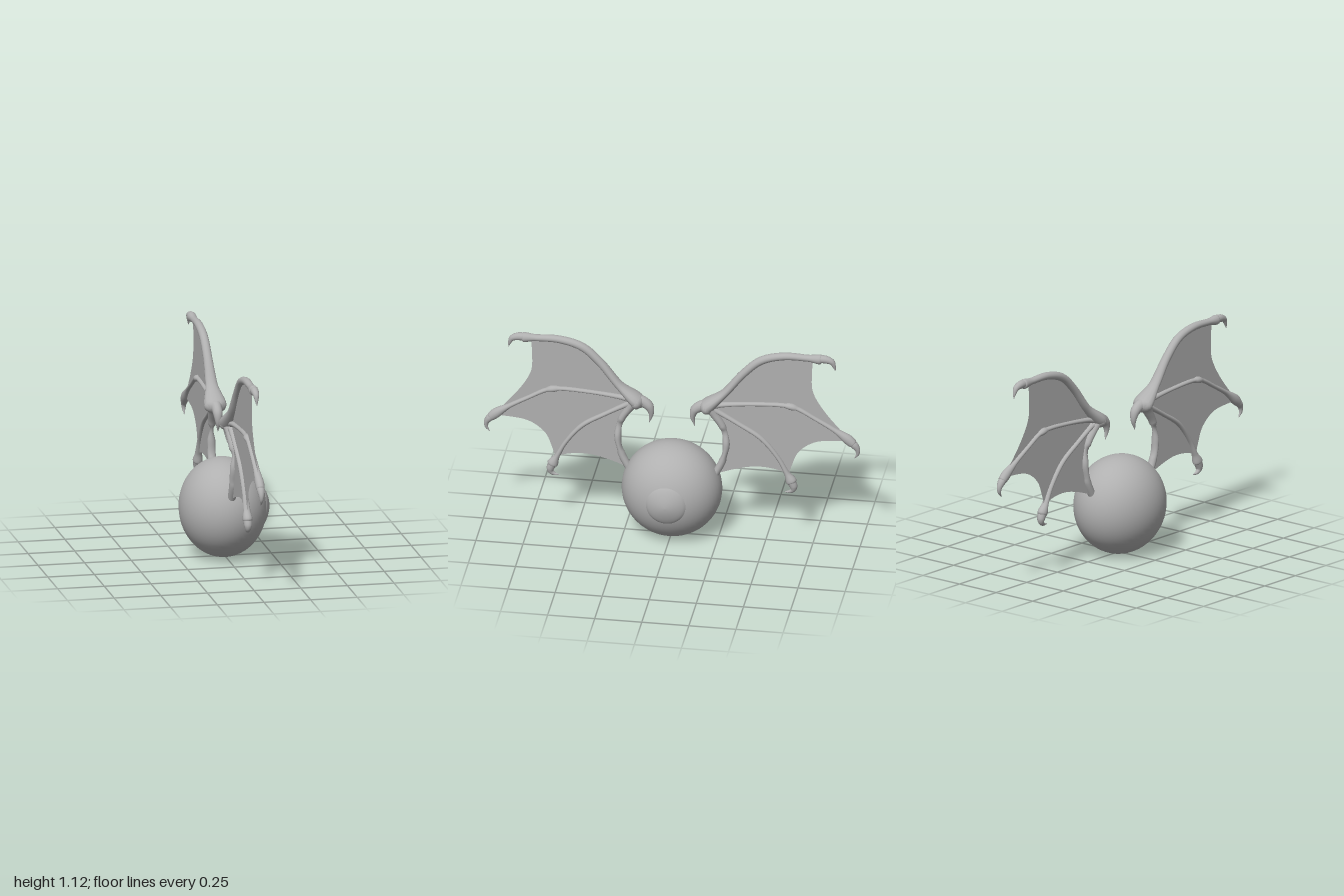
import * as THREE from 'three';

const CENTER_X = -0.01;

// Smooth bone along [z, y, radius in wing plane, radius across] stations
function boneGeometry(stations, sides = 14, perSpan = 8) {
  const path = new THREE.CatmullRomCurve3(stations.map(([z, y]) => new THREE.Vector3(0, y, z)));
  const sizes = new THREE.CatmullRomCurve3(stations.map(([, , r, rx]) => new THREE.Vector3(r, rx ?? r, 0)));
  const rows = (stations.length - 1) * perSpan;
  const pos = [], index = [];
  for (let i = 0; i <= rows; i++) {
    const t = i / rows;
    const c = path.getPoint(t), d = path.getTangent(t), s = sizes.getPoint(t);
    const r = Math.max(s.x, 0.001), rx = Math.max(s.y, 0.001);
    for (let j = 0; j < sides; j++) {
      const a = (j / sides) * Math.PI * 2;
      const n = Math.cos(a) * r;
      pos.push(Math.sin(a) * rx, c.y - d.z * n, c.z + d.y * n);
      if (i < rows) {
        const k = i * sides, j2 = (j + 1) % sides;
        index.push(k + j, k + j2, k + sides + j, k + j2, k + sides + j2, k + sides + j);
      }
    }
  }
  const g = new THREE.BufferGeometry();
  g.setAttribute('position', new THREE.Float32BufferAttribute(pos, 3));
  g.setIndex(index);
  g.computeVertexNormals();
  return g;
}

// Bones of one wing: [z, y, radius, radius across]
const BONES = {
  leadingBone: [
    [0.15, 0.735, 0.001], [0.165, 0.75, 0.03, 0.035], [0.19, 0.775, 0.038, 0.06],
    [0.28, 0.855, 0.022, 0.033], [0.38, 0.98, 0.022, 0.024], [0.475, 1.065, 0.022, 0.023],
    [0.595, 1.1, 0.02, 0.022], [0.72, 1.1, 0.018, 0.02], [0.785, 1.098, 0.027, 0.025], [0.81, 1.097, 0.001],
  ],
  middleFinger: [
    [0.19, 0.77, 0.024, 0.03], [0.27, 0.785, 0.014, 0.018], [0.43, 0.802, 0.011, 0.015], [0.6, 0.808, 0.012, 0.016],
    [0.665, 0.795, 0.012, 0.016], [0.76, 0.743, 0.011, 0.015], [0.86, 0.685, 0.013, 0.017],
    [0.935, 0.632, 0.027, 0.024], [0.96, 0.61, 0.024, 0.022], [0.97, 0.6, 0.001],
  ],
  lowerFinger: [
    [0.19, 0.77, 0.025, 0.03], [0.25, 0.738, 0.014, 0.018], [0.35, 0.68, 0.012, 0.016], [0.475, 0.6, 0.013, 0.017],
    [0.565, 0.49, 0.012, 0.016], [0.61, 0.405, 0.015, 0.019], [0.633, 0.36, 0.029, 0.026], [0.643, 0.335, 0.001],
  ],
  armBone: [
    [0.19, 0.775, 0.03, 0.045], [0.225, 0.725, 0.022, 0.032], [0.27, 0.65, 0.019, 0.022],
    [0.288, 0.55, 0.019, 0.022], [0.27, 0.455, 0.019, 0.022], [0.225, 0.36, 0.02, 0.022],
  ],
  thumbClaw: [
    [0.18, 0.77, 0.036, 0.04], [0.15, 0.764, 0.03, 0.028], [0.122, 0.742, 0.025, 0.025],
    [0.11, 0.7, 0.014, 0.016], [0.121, 0.645, 0.001],
  ],
  leadingClaw: [
    [0.775, 1.1, 0.022], [0.815, 1.1, 0.021], [0.848, 1.088, 0.016], [0.86, 1.065, 0.01], [0.868, 1.035, 0.001],
  ],
  middleClaw: [
    [0.945, 0.622, 0.022], [0.97, 0.6, 0.02], [0.985, 0.575, 0.014], [0.985, 0.55, 0.009], [0.968, 0.522, 0.001],
  ],
  lowerClaw: [
    [0.633, 0.36, 0.024], [0.645, 0.33, 0.021], [0.642, 0.31, 0.015], [0.625, 0.297, 0.009], [0.597, 0.294, 0.001],
  ],
};

// Thin skin with scalloped edges between the finger tips; shape x is z
function membraneGeometry() {
  const s = new THREE.Shape();
  s.moveTo(0.19, 0.77);
  s.splineThru([[0.28, 0.855], [0.38, 0.98], [0.475, 1.065], [0.595, 1.1], [0.75, 1.1]].map(p => new THREE.Vector2(...p)));
  s.splineThru([[0.742, 0.99], [0.752, 0.89], [0.82, 0.775], [0.935, 0.64]].map(p => new THREE.Vector2(...p)));
  s.lineTo(0.92, 0.622);
  s.splineThru([[0.77, 0.605], [0.675, 0.54], [0.635, 0.45], [0.62, 0.4]].map(p => new THREE.Vector2(...p)));
  s.splineThru([[0.54, 0.425], [0.44, 0.43], [0.33, 0.405], [0.235, 0.37]].map(p => new THREE.Vector2(...p)));
  s.splineThru([[0.27, 0.455], [0.288, 0.55], [0.27, 0.65], [0.19, 0.77]].map(p => new THREE.Vector2(...p)));
  return new THREE.ShapeGeometry(s, 10).rotateY(-Math.PI / 2);
}

export function createModel() {
  const gray = new THREE.MeshStandardMaterial({ color: 0xb0b0b0 });
  gray.name = 'plainGray';
  const skin = gray;
  skin.side = THREE.DoubleSide;

  const model = new THREE.Group();
  model.name = 'wingedEye';
  const add = (parent, name, geometry) => {
    const m = new THREE.Mesh(geometry, gray);
    m.name = name;
    parent.add(m);
    return m;
  };

  // Eyeball, slightly flattened across
  const ball = add(model, 'eyeball', new THREE.SphereGeometry(0.265, 48, 32));
  ball.scale.x = 0.23 / 0.265;
  ball.position.set(CENTER_X, 0.27, 0);

  // Domed lens on the +x side
  const lens = [[0.105, -0.004], [0.105, 0.001], [0.09, 0.011], [0.07, 0.021], [0.045, 0.03], [0.02, 0.036], [0, 0.037]];
  const cornea = add(model, 'cornea', new THREE.LatheGeometry(lens.map(p => new THREE.Vector2(...p)), 40).rotateZ(-Math.PI / 2));
  cornea.position.set(0.201, 0.27, 0);

  // Two wings; the second is the first turned half round
  for (const [name, turn] of [['frontWing', 0], ['backWing', Math.PI]]) {
    const wing = new THREE.Group();
    wing.name = name;
    wing.position.x = CENTER_X;
    wing.rotation.y = turn;
    for (const [part, stations] of Object.entries(BONES)) add(wing, part, boneGeometry(stations));
    add(wing, 'membrane', membraneGeometry());
    // Pointed shoulder joint
    const joint = add(wing, 'shoulderJoint', new THREE.SphereGeometry(1, 20, 14));
    joint.scale.set(0.06, 0.042, 0.036);
    joint.position.set(0, 0.77, 0.187);
    model.add(wing);
  }
  return model;
}
